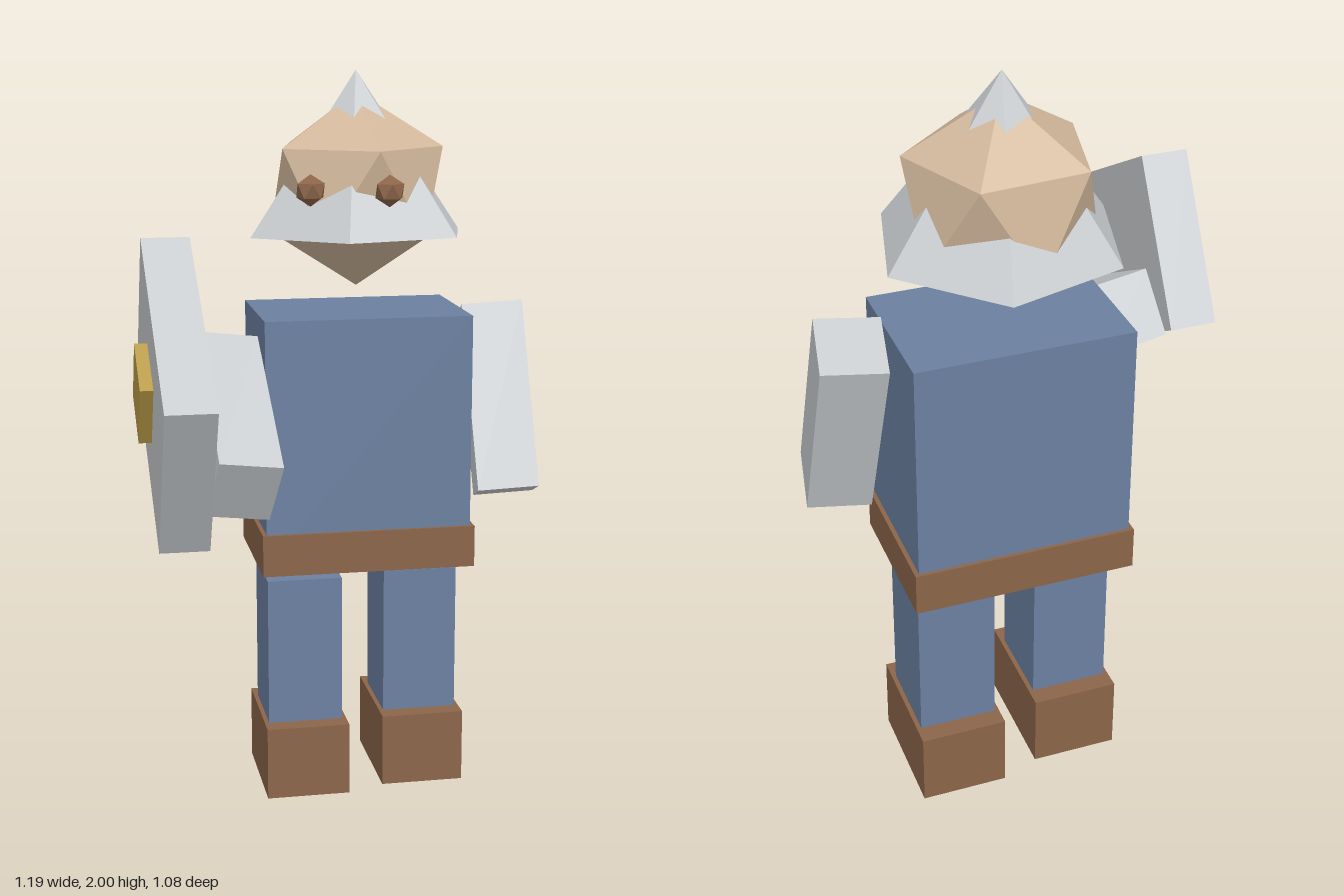
import * as THREE from 'three';

const material = (name, color) => {
  const m = new THREE.MeshStandardMaterial({ color, flatShading: true });
  m.name = name;
  return m;
};

export function createModel() {
  const model = new THREE.Group();
  model.name = 'figure';

  const blue = material('blue cloth', 0x6b80a0);
  const brown = material('brown leather', 0x8b6549);
  const grey = material('pale metal', 0xc8cccf);
  const skin = material('skin', 0xd2b89c);
  const gold = material('gold', 0xb89b48);

  const add = (name, geometry, mat, x, y, z) => {
    const mesh = new THREE.Mesh(geometry, mat);
    mesh.name = name;
    mesh.position.set(x, y, z);
    model.add(mesh);
    return mesh;
  };

  // Upright box between two heights, turned slightly to one side
  const TURN = -0.12;
  const block = (name, mat, w, d, y0, y1, x, z) => {
    const geometry = new THREE.BoxGeometry(w, y1 - y0, d);
    add(name, geometry, mat, x, (y0 + y1) / 2, z).rotation.y = TURN;
  };

  // Box whose local x and y follow the given directions
  const tilted = (name, mat, size, pos, xDir, yDir) => {
    const x = new THREE.Vector3(...xDir).normalize();
    const z = new THREE.Vector3().crossVectors(x, new THREE.Vector3(...yDir)).normalize();
    const y = new THREE.Vector3().crossVectors(z, x);
    const mesh = add(name, new THREE.BoxGeometry(...size), mat, ...pos);
    mesh.quaternion.setFromRotationMatrix(new THREE.Matrix4().makeBasis(x, y, z));
    return mesh;
  };

  // Twenty-sided ball standing on one corner
  const ball = (name, mat, r, x, y, z, turn) => {
    const geometry = new THREE.IcosahedronGeometry(r, 0);
    geometry.rotateZ(-Math.atan(2 / (1 + Math.sqrt(5))));
    geometry.rotateY(turn - Math.PI / 2);
    add(name, geometry, mat, x, y, z);
  };

  // Torso and belt
  block('torso', blue, 0.567, 0.39, 0.68, 1.355, 0.107, -0.238);
  block('belt', brown, 0.59, 0.41, 0.655, 0.77, 0.107, -0.238);

  // Legs and boots
  for (const [side, x] of [['right', -0.064], ['left', 0.274]]) {
    block(side + 'Leg', blue, 0.208, 0.23, 0.15, 0.62, x, -0.237);
    block(side + 'Boot', brown, 0.232, 0.334, 0, 0.205, x, -0.237);
  }

  // Head and eyes
  ball('head', skin, 0.263, 0.11, 1.68, -0.25, -0.035);
  ball('rightEye', brown, 0.042, -0.08, 1.7, -0.045, TURN);
  ball('leftEye', brown, 0.042, 0.112, 1.7, 0.03, TURN);

  // Six-sided helmet that the head pokes through
  const helmet = add('helmet', new THREE.ConeGeometry(0.318, 0.438, 6), grey, 0.11, 1.781, -0.249);
  helmet.rotation.set(-0.025, -0.367, 0);

  // Arms
  tilted('leftArm', grey, [0.167, 0.517, 0.182], [0.482, 1.1, -0.115],
    [0.16, 0.013, 0.045], [0.022, 0.49, -0.163]);
  tilted('rightArm', grey, [0.164, 0.18, 0.517], [-0.3155, 1.112, 0.0315],
    [0.163, -0.02, 0.008], [0.015, 0.155, 0.09]);

  // Shield with a raised boss on its outer face
  const shield = tilted('shield', grey, [0.126, 0.456, 0.675], [-0.488, 1.225, 0.13],
    [0.125, 0, 0.015], [-0.026, 0.395, 0.227]);
  const boss = new THREE.Mesh(new THREE.BoxGeometry(0.06, 0.173, 0.18), gold);
  boss.name = 'shieldBoss';
  boss.position.x = -0.066;
  shield.add(boss);

  return model;
}
